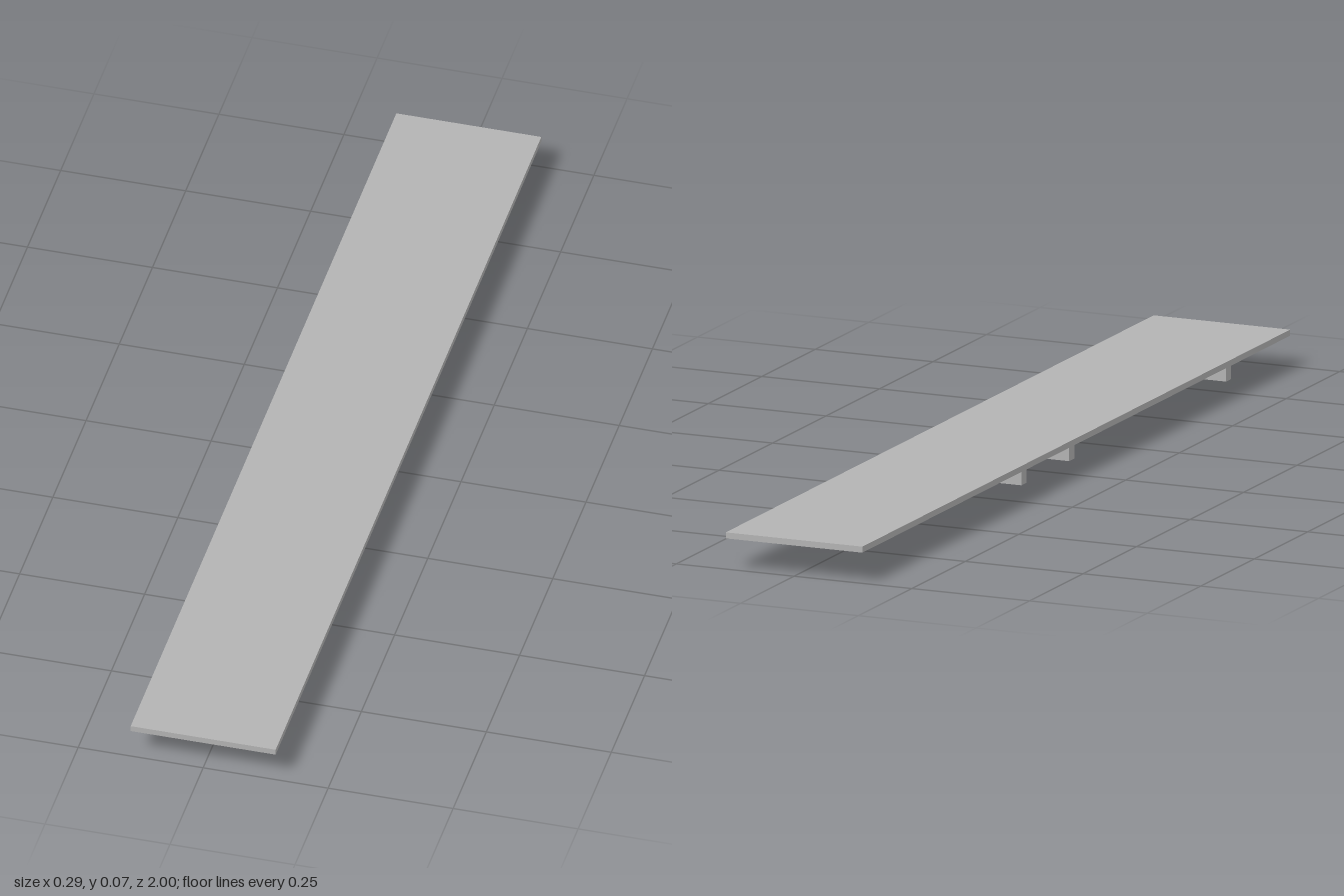
import * as THREE from 'three';

export function createModel() {
  const group = new THREE.Group();
  const grey = new THREE.MeshStandardMaterial({ color: 0xb3b3b3 });
  grey.name = 'grey';

  // Adds a box given by its minimum and maximum corners
  const addBox = (name, [x0, y0, z0], [x1, y1, z1]) => {
    const mesh = new THREE.Mesh(new THREE.BoxGeometry(x1 - x0, y1 - y0, z1 - z0), grey);
    mesh.position.set((x0 + x1) / 2, (y0 + y1) / 2, (z0 + z1) / 2);
    mesh.name = name;
    group.add(mesh);
  };

  // Long flat board
  const underside = 0.061;
  addBox('board', [-0.145, underside, -1], [0.145, 0.073, 1]);

  // Cross cleats under the board: the two middle ones are shorter, flush on the -x side
  const cleats = [
    ['frontCleat', 0.085, 0.844],
    ['middleFrontCleat', 0.055, 0.111],
    ['middleBackCleat', 0.055, -0.112],
  ];
  for (const [name, xEnd, z] of cleats) {
    addBox(name, [-0.085, 0, z - 0.012], [xEnd, underside, z + 0.012]);
  }
  return group;
}
